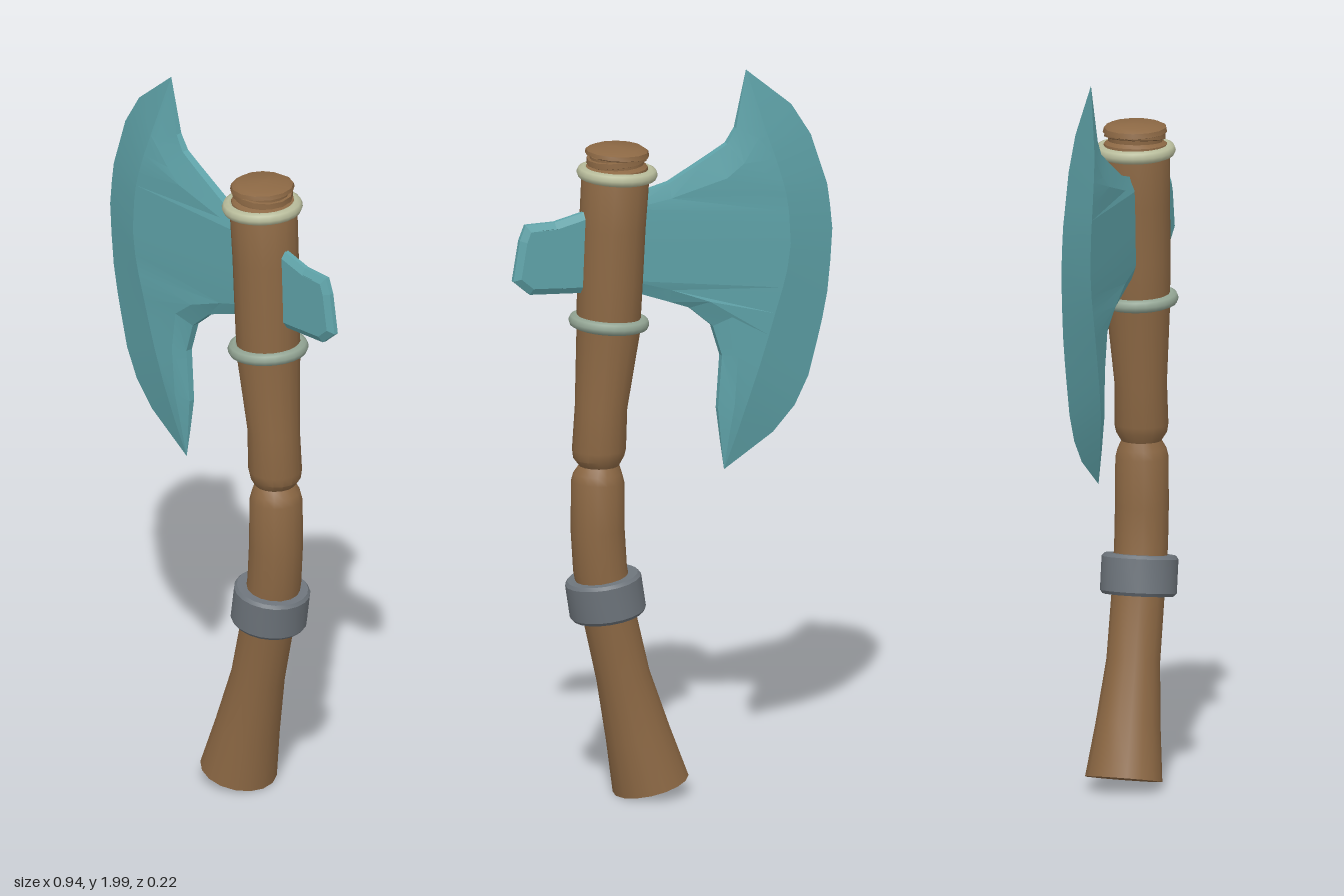
import * as THREE from 'three';
import { toCreasedNormals } from 'three/addons/utils/BufferGeometryUtils.js';

const mat = (name, color, extra = {}) => new THREE.MeshStandardMaterial({ name, color, ...extra });

// Skin a list of equal-length point loops; closed joins the last point to the first
function skin(rows, closed) {
  const n = rows[0].length, index = [];
  for (let r = 0; r < rows.length - 1; r++) {
    for (let j = 0; j < (closed ? n : n - 1); j++) {
      const k = (j + 1) % n;
      const a = r * n + j, b = a + n, c = (r + 1) * n + k, d = r * n + k;
      index.push(a, b, c, a, c, d);
    }
  }
  const geo = new THREE.BufferGeometry();
  geo.setAttribute('position', new THREE.Float32BufferAttribute(rows.flat(2), 3));
  geo.setIndex(index);
  return geo;
}

// Round loft through tilted sections [x, y, radius, tilt]
function loft(sections, sides = 16) {
  const rows = sections.map(([x, y, r, tilt]) => Array.from({ length: sides }, (_, j) => {
    const a = (j / sides) * Math.PI * 2, u = r * Math.cos(a);
    return [x + u * Math.cos(tilt), y + u * Math.sin(tilt), r * Math.sin(a)];
  }));
  return toCreasedNormals(skin(rows, true).toNonIndexed(), 0.6);
}

export function createModel() {
  const group = new THREE.Group();
  const wood = mat('wood brown', 0x8c6844);
  const teal = mat('blade teal', 0x5fa3a9);
  const cream = mat('ring cream', 0xb9bd9c);
  const sage = mat('ring sage', 0x93a594);
  const iron = mat('band grey', 0x6d747b);
  const add = (name, geo, material) => {
    const mesh = new THREE.Mesh(geo, material);
    mesh.name = name;
    group.add(mesh);
    return mesh;
  };

  // Curved wooden handle with a flared foot, a notch and a neck
  add('handle', loft([
    [0.062, 0.034, 0.001, -0.24],
    [0.062, 0.034, 0.105, -0.24],
    [0.1, 0.18, 0.088, -0.24],
    [0.143, 0.345, 0.073, -0.22],
    [0.186, 0.53, 0.072, -0.18],
    [0.21, 0.65, 0.073, -0.12],
    [0.217, 0.76, 0.073, -0.04],
    [0.217, 0.895, 0.072, 0.03],
    [0.217, 0.918, 0.066, 0.02],
    [0.213, 0.94, 0.055, 0],
    [0.214, 0.962, 0.069, -0.04],
    [0.213, 0.985, 0.073, 0],
    [0.207, 1.1, 0.071, 0.06],
    [0.186, 1.31, 0.086, 0.07],
    [0.181, 1.45, 0.089, 0.05],
    [0.174, 1.6, 0.09, 0.05],
    [0.165, 1.74, 0.092, 0.05],
    [0.163, 1.768, 0.086, 0],
    [0.161, 1.775, 0.074, -0.03],
    [0.16, 1.8, 0.074, 0],
    [0.16, 1.8, 0.001, 0],
  ]), wood);

  // Chipped pommel: two uneven slabs on the neck
  add('pommelLower', loft([
    [0.16, 1.78, 0.07, -0.1],
    [0.16, 1.785, 0.084, -0.1],
    [0.16, 1.8, 0.083, -0.1],
    [0.16, 1.803, 0.001, -0.1],
  ], 13), wood);
  add('pommelTop', loft([
    [0.16, 1.795, 0.07, 0.07],
    [0.16, 1.802, 0.088, 0.07],
    [0.16, 1.814, 0.085, 0.05],
    [0.16, 1.822, 0.07, 0.02],
    [0.16, 1.825, 0.001, 0],
  ], 13), wood);

  // Binding rings above and below the head
  const rings = [['upperRing', 0.16, 1.75, 0.05, cream], ['lowerRing', 0.184, 1.337, 0.07, sage]];
  for (const [name, x, y, tilt, material] of rings) {
    const geo = new THREE.TorusGeometry(0.092, 0.018, 8, 24).rotateX(Math.PI / 2).rotateZ(tilt);
    add(name, geo, material).position.set(x, y, 0);
  }

  // Iron band round the grip
  const profile = [[0.066, -0.055], [0.097, -0.055], [0.104, -0.046], [0.104, 0.046],
    [0.097, 0.055], [0.066, 0.055]].map(([r, y]) => new THREE.Vector2(r, y));
  const bandGeo = toCreasedNormals(new THREE.LatheGeometry(profile, 20).toNonIndexed(), 0.5);
  const band = add('gripBand', bandGeo, iron);
  band.position.set(0.194, 0.573, 0);
  band.rotation.z = -0.155;

  // Blade rows from tip to tip: cutting edge, ridge, bevel line, back edge
  const tipTop = [-0.217, 2], tipLow = [-0.153, 0.889];
  const blade = [
    [tipTop, tipTop, tipTop, tipTop, 0],
    [[-0.35, 1.89], [-0.27, 1.815], [-0.245, 1.81], [-0.185, 1.841], 0.028],
    [[-0.407, 1.8], [-0.292, 1.75], [-0.2, 1.745], [-0.159, 1.8], 0.033],
    [[-0.437, 1.71], [-0.31, 1.69], [-0.15, 1.71], [-0.1, 1.767], 0.036],
    [[-0.455, 1.656], [-0.32, 1.65], [0.01, 1.668], [0.01, 1.709], 0.037],
    [[-0.463, 1.6], [-0.328, 1.6], [0.13, 1.65], [0.13, 1.68], 0.037],
    [[-0.47, 1.53], [-0.333, 1.51], [0.14, 1.55], [0.15, 1.55], 0.037],
    [[-0.464, 1.44], [-0.323, 1.44], [0.13, 1.45], [0.13, 1.42], 0.037],
    [[-0.455, 1.354], [-0.31, 1.39], [0.01, 1.412], [0.01, 1.376], 0.037],
    [[-0.44, 1.28], [-0.288, 1.32], [-0.1, 1.37], [-0.048, 1.354], 0.036],
    [[-0.425, 1.22], [-0.27, 1.26], [-0.165, 1.32], [-0.116, 1.296], 0.035],
    [[-0.4, 1.127], [-0.245, 1.18], [-0.182, 1.21], [-0.143, 1.21], 0.033],
    [[-0.36, 1.048], [-0.215, 1.09], [-0.175, 1.075], [-0.132, 1.063], 0.028],
    [[-0.296, 0.979], [-0.185, 0.99], [-0.163, 0.985], [-0.142, 0.975], 0.015],
    [tipLow, tipLow, tipLow, tipLow, 0],
  ];
  // Each row becomes a closed loop: front face, then the mirrored back
  const loops = blade.map(([edge, ridge, bevel, back, z]) => {
    const zb = z * (bevel[0] > 0 ? 0.6 : 0.85), ze = z * 0.3;
    return [[...edge, 0], [...ridge, z], [...bevel, zb], [...back, ze],
      [...back, -ze], [...bevel, -zb], [...ridge, -z]];
  });
  add('blade', toCreasedNormals(skin(loops, true).toNonIndexed(), 0.15), teal);

  // Slotted lug behind the head
  const points = (list) => list.map(([x, y]) => new THREE.Vector2(x, y));
  const lug = new THREE.Shape(points([[0.2, 1.42], [0.27, 1.427], [0.418, 1.437], [0.466, 1.478],
    [0.447, 1.59], [0.43, 1.632], [0.345, 1.632], [0.265, 1.65], [0.2, 1.67]]));
  lug.holes.push(new THREE.Path(points([[0.318, 1.598], [0.37, 1.598], [0.395, 1.472], [0.332, 1.467]])));
  const lugGeo = new THREE.ExtrudeGeometry(lug, {
    depth: 0.012, bevelThickness: 0.011, bevelSize: 0.018, bevelOffset: -0.018, bevelSegments: 1,
  }).translate(0, 0, -0.006);
  add('backLug', lugGeo, teal);

  return group;
}
